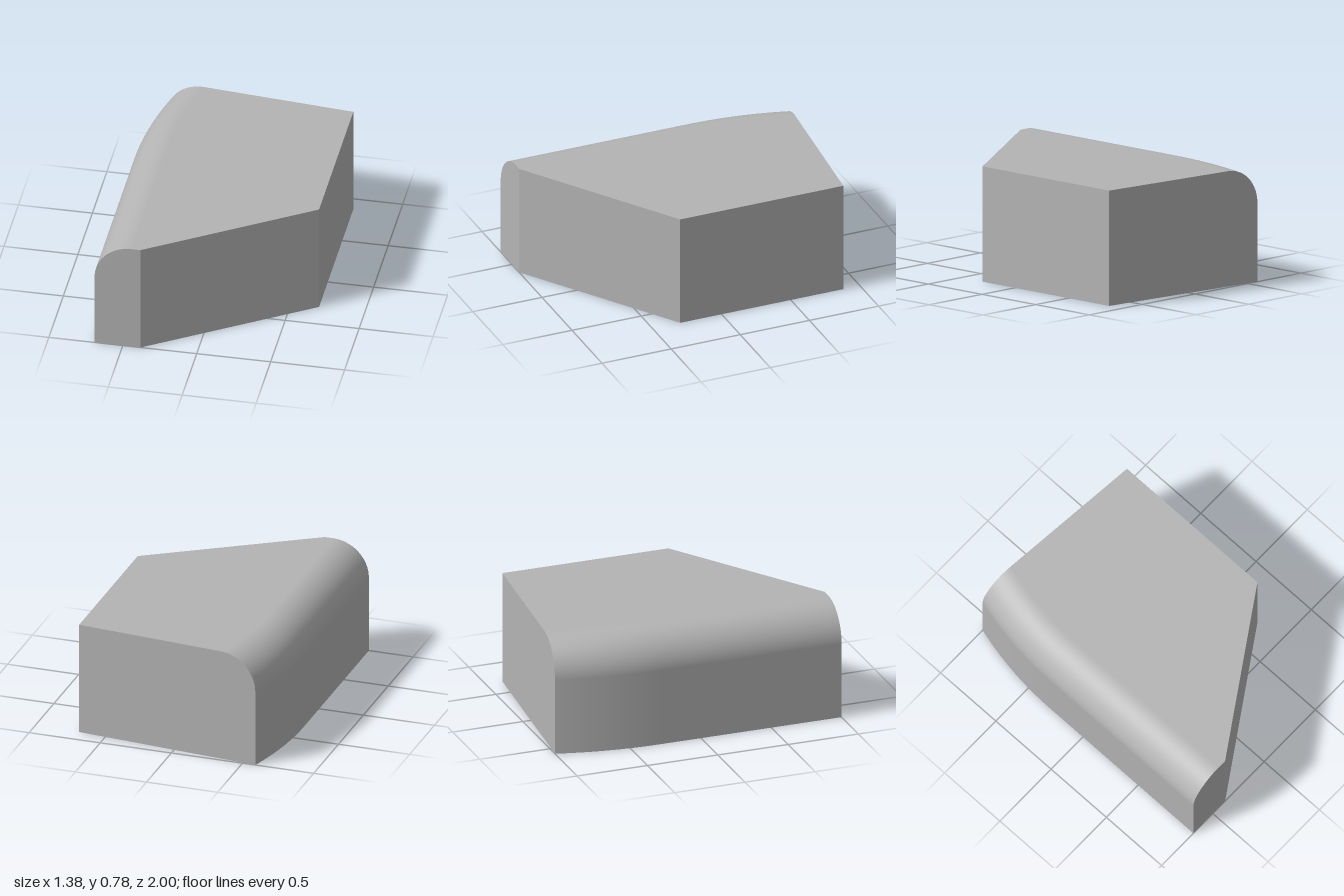
import * as THREE from 'three';

const H = 0.78, FILLET = 0.25;            // height, rounded top edge
const CX = 1.81, CZ = -0.3, SWEEP = 2.5;  // centre and radius of the curved side in plan
const BACK = new THREE.Vector2(0.69, -0.88), SLOPE = 0.12 / 1.28; // slanted back edge
const COLS = 24, ROWS = 24;

// Plan angle at which the curved side, inset by d, meets the back edge
function endAngle(d) {
  const rhs = CZ - BACK.y - SLOPE * (CX - BACK.x);
  return Math.atan(SLOPE) + Math.asin(rhs / ((SWEEP - d) * Math.hypot(1, SLOPE)));
}

// Convex flat face, wound to face away from the middle of the block
function flatFace(name, points, material) {
  const centre = points.reduce((s, p) => s.add(p), new THREE.Vector3()).divideScalar(points.length);
  const area = new THREE.Vector3();
  points.forEach((p, i) => {
    const q = points[(i + 1) % points.length];
    area.add(p.clone().sub(centre).cross(q.clone().sub(centre)));
  });
  const loop = area.dot(centre.sub(new THREE.Vector3(0, H / 2, 0))) < 0 ? [...points].reverse() : points;
  const tris = [];
  for (let i = 1; i < loop.length - 1; i++) tris.push(loop[0], loop[i], loop[i + 1]);
  const geometry = new THREE.BufferGeometry().setFromPoints(tris);
  geometry.computeVertexNormals();
  const mesh = new THREE.Mesh(geometry, material);
  mesh.name = name;
  return mesh;
}

export function createModel() {
  const group = new THREE.Group();
  group.name = 'roundedBlock';
  const grey = new THREE.MeshStandardMaterial({ color: 0xb4b4b4 });
  grey.name = 'grey';

  // Curved side: straight wall, then a quarter-round fillet up to the top
  const rows = [], pos = [], nor = [], index = [];
  for (let i = 0; i <= ROWS + 1; i++) {
    const a = (Math.max(i - 1, 0) / ROWS) * Math.PI / 2;
    const d = FILLET * (1 - Math.cos(a));
    const y = i === 0 ? 0 : H - FILLET + FILLET * Math.sin(a);
    const end = endAngle(d), row = [];
    for (let j = 0; j <= COLS + 1; j++) {
      const t = (Math.max(j - 1, 0) / COLS) * end;
      const r = SWEEP - d;
      const p = new THREE.Vector3(CX - r * Math.cos(t), y, j === 0 ? 1 : CZ - r * Math.sin(t));
      row.push(p);
      pos.push(p.x, p.y, p.z);
      nor.push(-Math.cos(t) * Math.cos(a), Math.sin(a), -Math.sin(t) * Math.cos(a));
    }
    rows.push(row);
  }
  const w = COLS + 2;
  for (let i = 0; i <= ROWS; i++) {
    for (let j = 0; j <= COLS; j++) {
      const k = i * w + j;
      index.push(k, k + w, k + 1, k + 1, k + w, k + w + 1);
    }
  }
  const sideGeometry = new THREE.BufferGeometry();
  sideGeometry.setAttribute('position', new THREE.Float32BufferAttribute(pos, 3));
  sideGeometry.setAttribute('normal', new THREE.Float32BufferAttribute(nor, 3));
  sideGeometry.setIndex(index);
  const side = new THREE.Mesh(sideGeometry, grey);
  side.name = 'curvedSide';
  group.add(side);

  // Flat faces closing the block
  const v = (x, y, z) => new THREE.Vector3(x, y, z);
  const corners = y => [v(0.69, y, BACK.y), v(0.69, y, 0.3), v(-0.38, y, 1)];
  const [b0, r0, f0] = corners(0), [b1, r1, f1] = corners(H);
  group.add(
    flatFace('bottom', [...rows[0], b0, r0, f0], grey),
    flatFace('top', [...rows[ROWS + 1], b1, r1, f1], grey),
    flatFace('front', [...rows.map(r => r[0]), f1, f0], grey),
    flatFace('slantedFront', [f0, f1, r1, r0], grey),
    flatFace('straightSide', [r0, r1, b1, b0], grey),
    flatFace('back', [...rows.map(r => r[COLS + 1]), b1, b0], grey),
  );
  return group;
}
